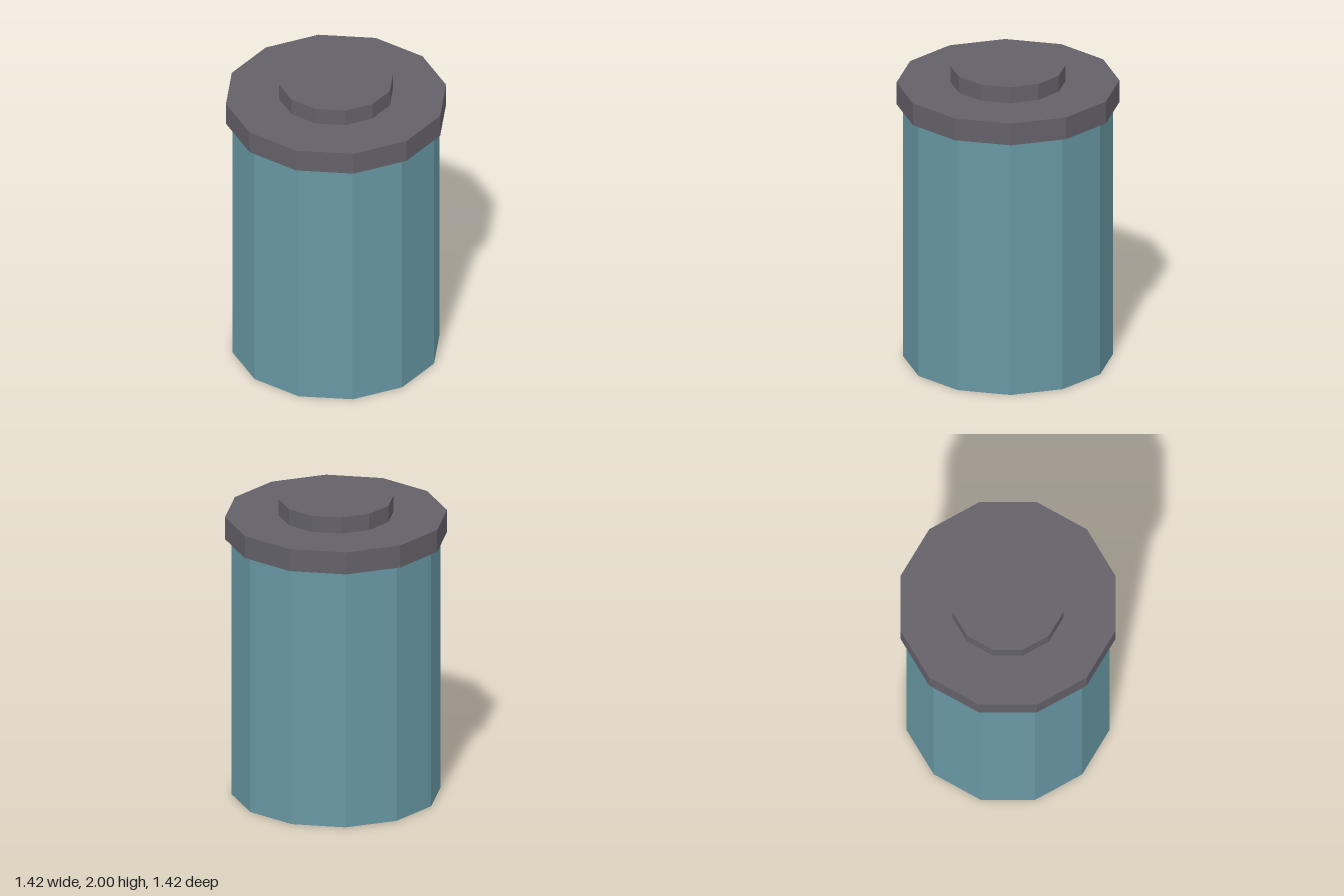
import * as THREE from 'three';

const SIDES = 12;

export function createModel() {
  const group = new THREE.Group();

  const teal = new THREE.MeshStandardMaterial({ color: 0x6797a3, flatShading: true });
  teal.name = 'teal';
  const darkGrey = new THREE.MeshStandardMaterial({ color: 0x636068, flatShading: true });
  darkGrey.name = 'dark grey';

  // Upright twelve-sided drum from y = bottom to y = top
  function drum(name, radius, bottom, top, material) {
    const height = top - bottom;
    const mesh = new THREE.Mesh(new THREE.CylinderGeometry(radius, radius, height, SIDES), material);
    mesh.position.y = bottom + height / 2;
    mesh.name = name;
    group.add(mesh);
  }

  drum('body', 0.67, 0, 1.74, teal);
  drum('lid', 0.712, 1.74, 1.89, darkGrey);
  drum('lidKnob', 0.368, 1.89, 2, darkGrey);

  return group;
}
